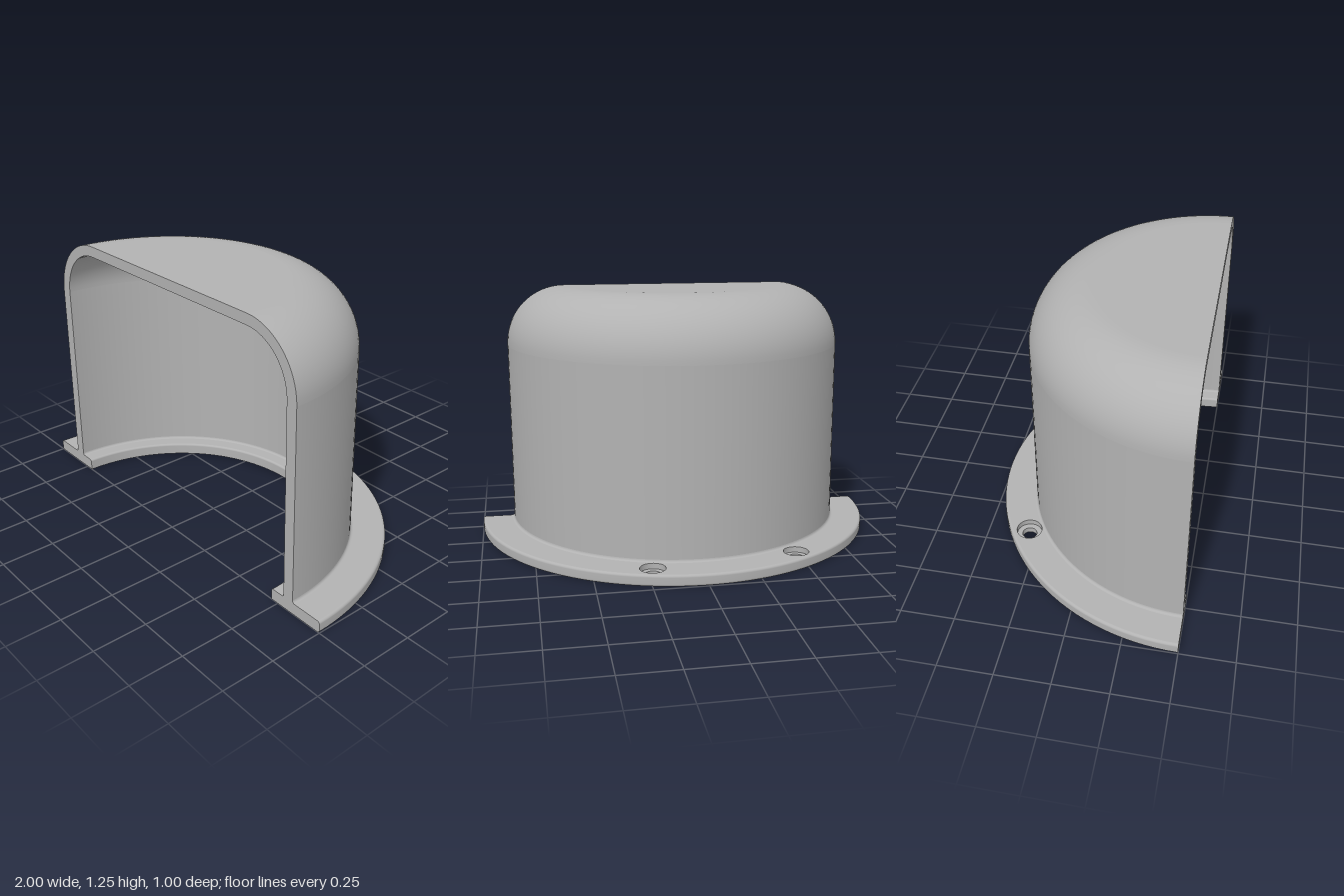
import * as THREE from 'three';

const SEG = 64;
const metal = new THREE.MeshStandardMaterial({ color: 0xb2b2b2 });
metal.name = 'plain grey';

const pt = (x, y) => new THREE.Vector2(x, y);

// points on an arc, angles in degrees
function arc(cx, cy, r, from, to, n) {
  return Array.from({ length: n + 1 }, (_, i) => {
    const a = THREE.MathUtils.degToRad(from + (to - from) * i / n);
    return pt(cx + r * Math.cos(a), cy + r * Math.sin(a));
  });
}

export function createModel() {
  const model = new THREE.Group();
  model.name = 'halfRoundHood';

  const add = (name, geometry, x = 0, y = 0, z = 0.5) => {
    const mesh = new THREE.Mesh(geometry, metal);
    mesh.name = name;
    mesh.position.set(x, y, z);
    model.add(mesh);
  };

  const flangeTop = 0.055, lip = 0.012;

  // section, outer side: from the inner foot out and up to the crown
  const rim = [
    ...arc(1 - lip, lip, lip, -90, 0, 4),
    ...arc(1 - lip, flangeTop - lip, lip, 0, 90, 4),
  ];
  const outerFillet = arc(0.84 + lip, flangeTop + lip, lip, -90, -180, 4);
  const outerDome = arc(0.55, 0.96, 0.29, 0, 90, 20);

  // section, inner side: from the crown down to the inner foot
  const innerDome = arc(0.55, 0.965, 0.235, 90, 0, 20);
  const innerFillet = arc(0.775, flangeTop + 0.01, 0.01, 0, -90, 4);
  const innerLip = [...arc(0.72, flangeTop - 0.01, 0.01, 90, 180, 4), pt(0.71, 0)];

  // revolved surfaces, each strip separate so flat parts stay crisp
  const strips = {
    flangeRim: rim,
    outerFillet,
    outerWall: [outerFillet.at(-1), outerDome[0]],
    outerDome,
    outerCrown: [outerDome.at(-1), pt(0, 1.25)],
    innerCrown: [pt(0, 1.2), innerDome[0]],
    innerDome,
    innerWall: [innerDome.at(-1), innerFillet[0]],
    innerFillet,
    innerLedge: [innerFillet.at(-1), innerLip[0]],
    innerLip,
  };
  for (const [name, points] of Object.entries(strips)) {
    add(name, new THREE.LatheGeometry(points, SEG, Math.PI / 2, Math.PI));
  }

  // flat cut face at the front
  const outer = [pt(0.71, 0), ...rim, ...outerFillet, ...outerDome];
  const inner = [...innerDome, ...innerFillet, ...innerLip.slice(0, -1)];
  const mirror = (points) => points.map((p) => pt(-p.x, p.y)).reverse();
  const section = new THREE.Shape([...outer, ...mirror(outer), ...mirror(inner), ...inner]);
  add('cutFace', new THREE.ShapeGeometry(section));

  // screw positions on the flange
  const screws = [75, 120].map((deg) => arc(0, 0, 0.914, deg, deg, 1)[0]);
  const bore = 0.06, hole = 0.034, boreFloor = 0.028;

  // half-ring plate face with holes; side 1 faces up, -1 faces down
  const halfRing = (rIn, rOut, rHole, side) => {
    const shape = new THREE.Shape([
      ...arc(0, 0, rOut, 0, 180 * side, SEG),
      ...arc(0, 0, rIn, 180 * side, 0, SEG),
    ]);
    for (const s of screws) {
      shape.holes.push(new THREE.Path(arc(s.x, s.y * side, rHole, 0, 360, 32).slice(0, -1)));
    }
    return new THREE.ShapeGeometry(shape).rotateX(-side * Math.PI / 2);
  };
  add('flangeTop', halfRing(0.84 + lip, 1 - lip, bore, 1), 0, flangeTop);
  add('flangeUnderside', halfRing(0.71, 1 - lip, hole, -1));

  // counterbored screw holes
  const steps = [pt(bore, flangeTop), pt(bore, boreFloor), pt(hole, boreFloor), pt(hole, 0)];
  for (const s of screws) {
    ['boreWall', 'boreFloor', 'holeWall'].forEach((name, i) => {
      add(name, new THREE.LatheGeometry([steps[i], steps[i + 1]], 32), s.x, 0, 0.5 - s.y);
    });
  }
  return model;
}
